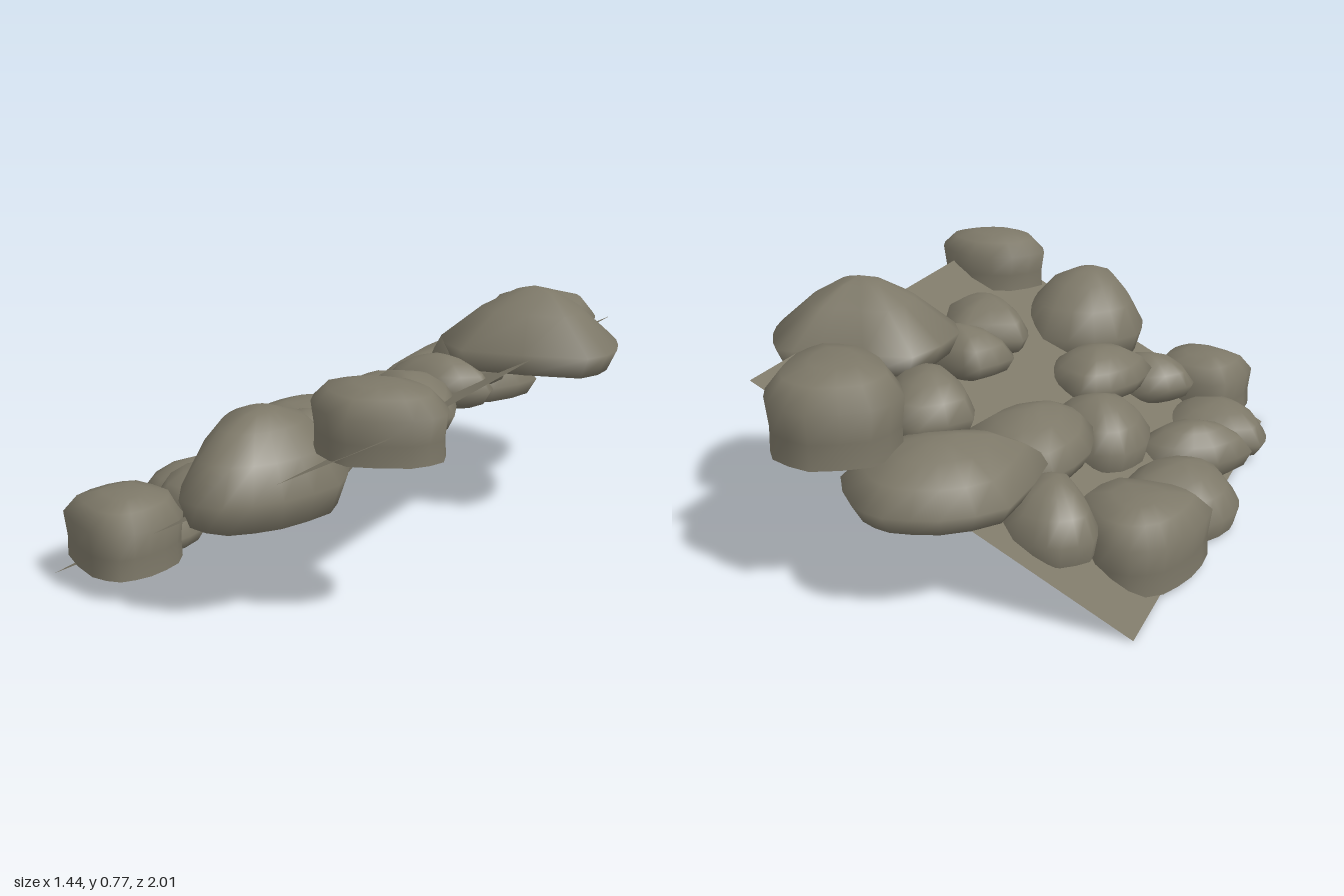
import * as THREE from 'three';

// Rock profiles from base to crown: [share of outline, share of height]
const DOME = [[0.92, 0], [1, 0.33], [0.78, 0.65], [0.5, 0.88], [0.2, 0.98]];
const ROUND = [[0.2, 0], [0.62, 0.01], [0.88, 0.07], [1, 0.35], [0.77, 0.65], [0.5, 0.88], [0.2, 0.98]];
const LENS = [[0.2, 0], [0.6, 0.02], [0.87, 0.16], [1, 0.42], [0.8, 0.7], [0.5, 0.9], [0.2, 0.99]];
const BLOCK = [[0.96, 0], [0.95, 0.3], [1, 0.66], [0.76, 0.9], [0.38, 0.99]];
const PEAK = [[0.2, 0], [0.6, 0], [0.89, 0.03], [1, 0.3], [0.56, 0.72], [0.23, 0.93]];

// Loft a plan outline (x, z pairs) through a profile, with a flat base
function rockGeometry(outline, bottom, top, profile) {
  const pts = [];
  for (let i = 0; i < outline.length; i += 2) pts.push(new THREE.Vector3(outline[i], 0, outline[i + 1]));
  const sides = pts.length * 2;
  const curve = new THREE.CatmullRomCurve3(pts, true, 'catmullrom', 0.3);
  const ring = curve.getPoints(sides).slice(0, sides);
  const centre = new THREE.Box3().setFromPoints(ring).getCenter(new THREE.Vector3());

  const pos = [], index = [];
  const addRing = (scale, y) => ring.forEach(p => pos.push(
    centre.x + (p.x - centre.x) * scale, y, centre.z + (p.z - centre.z) * scale));
  profile.forEach(([scale, t]) => addRing(scale, bottom + (top - bottom) * t));

  const apex = profile.length * sides;
  pos.push(centre.x, top, centre.z);
  addRing(profile[0][0], bottom);
  const baseCentre = apex + 1 + sides;
  pos.push(centre.x, bottom, centre.z);

  for (let i = 0; i < sides; i++) {
    const j = (i + 1) % sides;
    for (let r = 0; r < profile.length - 1; r++) {
      const a = r * sides, b = a + sides;
      index.push(a + i, b + i, a + j, a + j, b + i, b + j);
    }
    const last = apex - sides;
    index.push(last + i, apex, last + j);
    index.push(apex + 1 + i, apex + 1 + j, baseCentre);
  }
  const geo = new THREE.BufferGeometry();
  geo.setAttribute('position', new THREE.Float32BufferAttribute(pos, 3));
  geo.setIndex(index);
  geo.computeVertexNormals();
  return geo;
}

export function createModel() {
  const group = new THREE.Group();
  const stone = new THREE.MeshStandardMaterial({ name: 'stone', color: 0x7d7868 });
  const ground = new THREE.MeshStandardMaterial({ name: 'slopeGround', color: 0x7d7868, side: THREE.DoubleSide });

  // Sloping sheet, rising towards +x
  const slopeGeo = new THREE.PlaneGeometry(1.13, 1.685);
  slopeGeo.rotateX(-Math.PI / 2);
  const p = slopeGeo.attributes.position;
  for (let i = 0; i < p.count; i++) p.setY(i, p.getX(i) > 0 ? 0.59 : 0);
  slopeGeo.translate(-0.045, 0, 0.022);
  slopeGeo.computeVertexNormals();
  const slope = new THREE.Mesh(slopeGeo, ground);
  slope.name = 'slope';
  group.add(slope);

  const rock = (name, bottom, top, profile, outline) => {
    const mesh = new THREE.Mesh(rockGeometry(outline, bottom, top, profile), stone);
    mesh.name = name;
    group.add(mesh);
  };

  // Upper rocks
  rock('upperBackRock', 0.42, 0.665, BLOCK,
    [0.25, -0.99, 0.39, -0.95, 0.46, -0.84, 0.49, -0.68, 0.46, -0.54, 0.32, -0.52, 0.18, -0.61, 0.07, -0.76, 0.1, -0.9]);
  rock('upperPeakRock', 0.52, 0.775, PEAK,
    [0.58, -0.58, 0.67, -0.45, 0.72, -0.31, 0.68, -0.15, 0.29, -0.07, 0.14, -0.23, 0.17, -0.5, 0.46, -0.56]);
  rock('upperSmallRock', 0.41, 0.57, LENS,
    [0.08, -0.21, 0.2, -0.2, 0.36, -0.14, 0.4, -0.05, 0.26, 0.04, 0.08, 0, 0.02, -0.08]);
  rock('upperMiddleRock', 0.41, 0.58, LENS,
    [0.24, 0.01, 0.33, 0.06, 0.42, 0.25, 0.38, 0.39, 0.29, 0.41, 0.16, 0.31, 0.08, 0.2, 0.05, 0.08]);
  rock('upperFrontRock', 0.5, 0.69, BLOCK,
    [0.43, 0.53, 0.56, 0.6, 0.61, 0.7, 0.56, 0.79, 0.4, 0.86, 0.27, 0.8, 0.2, 0.68, 0.28, 0.56]);

  // Middle rocks
  rock('middleBackRock', 0.26, 0.46, ROUND,
    [0.03, -1, 0.14, -0.96, 0.26, -0.8, 0.18, -0.6, -0.1, -0.45, -0.25, -0.47, -0.26, -0.82, -0.12, -0.96]);
  rock('middleWedgedRock', 0.38, 0.57, LENS,
    [0.06, -0.7, 0.2, -0.67, 0.29, -0.45, 0.24, -0.32, 0.13, -0.32, 0.02, -0.43, -0.05, -0.57]);
  rock('middleLongRock', 0.22, 0.41, LENS,
    [-0.28, -0.53, -0.08, -0.59, 0.08, -0.4, 0.01, -0.17, -0.15, -0.04, -0.26, -0.12, -0.32, -0.32]);
  rock('middleRoundRock', 0.16, 0.35, DOME,
    [-0.28, -0.17, -0.11, -0.11, -0.05, 0.04, -0.14, 0.17, -0.29, 0.21, -0.38, 0.12, -0.41, -0.02, -0.37, -0.13]);
  rock('middleNarrowRock', 0.23, 0.4, LENS,
    [-0.13, 0.14, 0, 0.22, 0.05, 0.34, -0.01, 0.5, -0.16, 0.55, -0.28, 0.48, -0.28, 0.32, -0.22, 0.2]);
  rock('middleFrontRock', 0.27, 0.575, ROUND,
    [-0.08, 0.44, 0.11, 0.43, 0.22, 0.52, 0.28, 0.68, 0.22, 0.87, 0.11, 0.995, -0.03, 0.995, -0.16, 0.77, -0.19, 0.59]);

  // Lower rocks
  rock('lowerBackRock', 0.015, 0.24, BLOCK,
    [-0.54, -0.64, -0.43, -0.62, -0.3, -0.43, -0.37, -0.24, -0.58, -0.23, -0.69, -0.29, -0.68, -0.45, -0.63, -0.58]);
  rock('lowerWedgedRock', 0.13, 0.325, DOME,
    [-0.3, -0.76, -0.18, -0.71, -0.14, -0.5, -0.21, -0.4, -0.32, -0.42, -0.43, -0.58, -0.45, -0.68, -0.38, -0.75]);
  rock('lowerMiddleRock', 0.01, 0.19, DOME,
    [-0.66, -0.23, -0.43, -0.27, -0.33, -0.2, -0.34, 0.02, -0.46, 0.15, -0.62, 0.16, -0.71, 0, -0.72, -0.1]);
  rock('lowerSlantedRock', 0.02, 0.21, LENS,
    [-0.45, 0.1, -0.33, 0.13, -0.31, 0.24, -0.4, 0.38, -0.6, 0.4, -0.68, 0.33, -0.6, 0.18]);
  rock('lowerRoundRock', 0.01, 0.18, LENS,
    [-0.55, 0.37, -0.38, 0.38, -0.31, 0.5, -0.32, 0.66, -0.5, 0.74, -0.63, 0.66, -0.69, 0.53, -0.69, 0.43]);
  rock('lowerSmallRock', 0.16, 0.32, LENS,
    [-0.29, 0.42, -0.11, 0.47, -0.08, 0.63, -0.2, 0.7, -0.34, 0.69, -0.41, 0.58, -0.4, 0.52]);
  rock('lowerFrontRock', 0.07, 0.28, BLOCK,
    [-0.47, 0.61, -0.29, 0.64, -0.22, 0.75, -0.23, 0.87, -0.28, 0.95, -0.38, 0.96, -0.56, 0.86, -0.54, 0.7]);

  return group;
}
